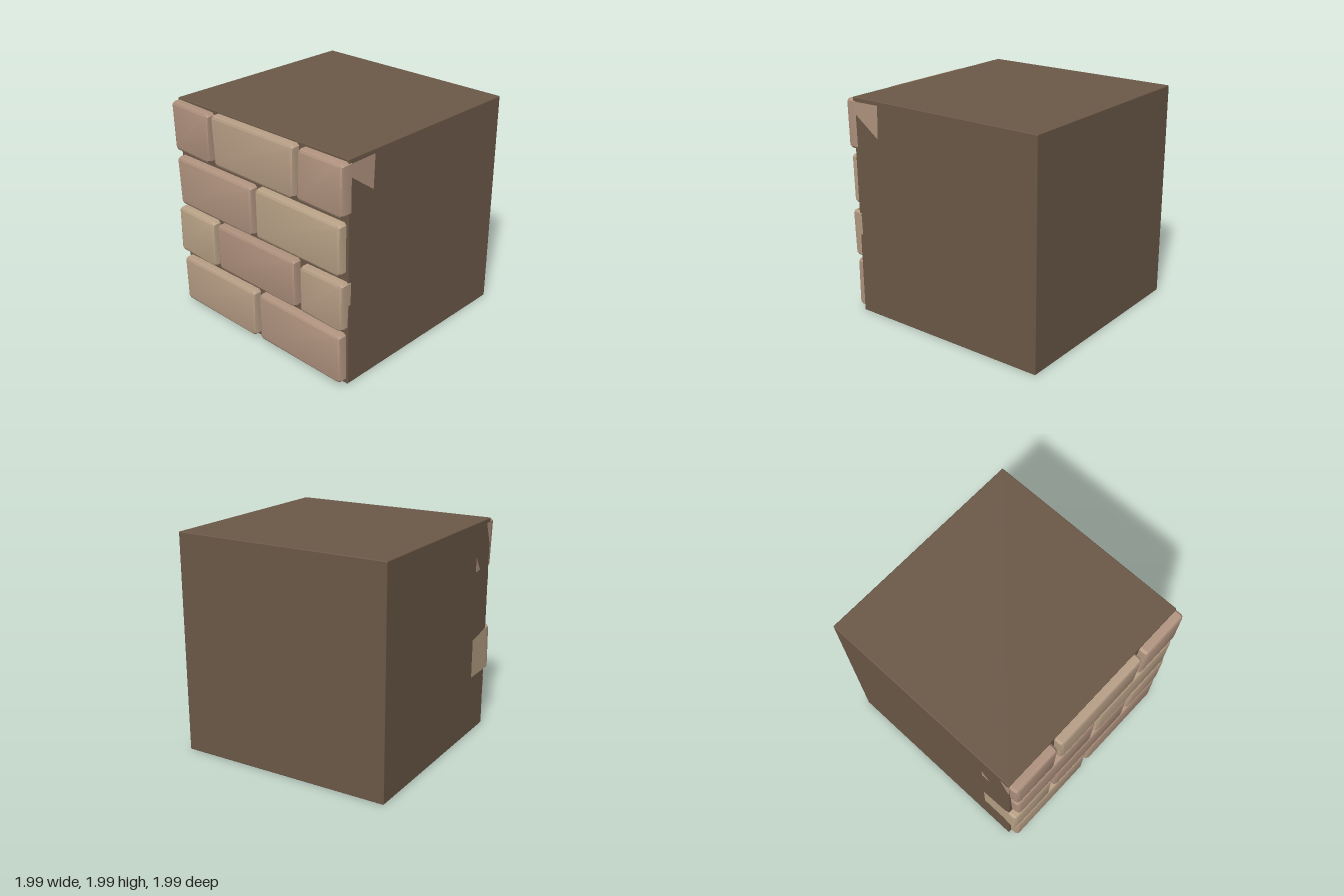
import * as THREE from 'three';
import { toCreasedNormals } from 'three/addons/utils/BufferGeometryUtils.js';
import { RoundedBoxGeometry } from 'three/addons/geometries/RoundedBoxGeometry.js';

// Corners of each brick: bottom left, bottom right, top right, top left
const ROWS = [
  [[-0.96, 0.04, -0.035, 0.03, -0.025, 0.475, -0.97, 0.47],
   [0.03, 0.04, 0.975, 0.03, 0.97, 0.48, 0.03, 0.485]],
  [[-1.0, 0.54, -0.53, 0.525, -0.52, 0.965, -0.995, 0.97],
   [-0.47, 0.54, 0.47, 0.535, 0.47, 0.97, -0.48, 0.965],
   [0.53, 0.535, 0.985, 0.525, 0.995, 0.96, 0.53, 0.955]],
  [[-0.95, 1.02, -0.025, 1.015, -0.02, 1.465, -0.97, 1.465],
   [0.025, 1.025, 0.965, 1.02, 0.97, 1.465, 0.03, 1.475]],
  [[-0.975, 1.53, -0.53, 1.52, -0.515, 1.96, -0.99, 1.97],
   [-0.46, 1.525, 0.465, 1.52, 0.48, 1.97, -0.48, 1.97],
   [0.51, 1.53, 0.99, 1.525, 0.995, 1.965, 0.53, 1.965]],
];
const COLORS = [0xb59c84, 0xb0937f, 0xb8a186, 0xad8f7c];

// Cut-cornered outline of a brick, drawn in by an inset
function outline(c, inset, cut) {
  const p = [0, 1, 2, 3].map((i) => new THREE.Vector2(
    c[2 * i] + (i === 0 || i === 3 ? inset : -inset),
    c[2 * i + 1] + (i < 2 ? inset : -inset)));
  const toward = (a, b) => a.clone().add(b.clone().sub(a).setLength(cut));
  return p.flatMap((q, i) => [toward(q, p[(i + 3) % 4]), toward(q, p[(i + 1) % 4])]);
}

// Brick with a bevelled face, lofted from back to front
function brickGeometry(c) {
  const loops = [[0.88, 0, 0.02], [0.96, 0, 0.02], [0.98, 0.007, 0.02], [0.99, 0.024, 0.015]];
  const pos = [], index = [], n = 8;
  for (const [z, inset, cut] of loops) {
    for (const p of outline(c, inset, cut)) pos.push(p.x, p.y, z);
  }
  for (let k = 0; k < loops.length - 1; k++) {
    for (let i = 0; i < n; i++) {
      const a = k * n + i, b = k * n + (i + 1) % n;
      index.push(a, b, b + n, a, b + n, a + n);
    }
  }
  const last = (loops.length - 1) * n;
  for (let i = 1; i < n - 1; i++) index.push(last, last + i, last + i + 1);
  const g = new THREE.BufferGeometry();
  g.setAttribute('position', new THREE.Float32BufferAttribute(pos, 3));
  g.setIndex(index);
  return toCreasedNormals(g, 0.5);
}

// Sliver of brick showing through a side wall; points are [z, y]
function sideSliver(side, points, color) {
  const shape = new THREE.Shape(points.map(([z, y]) => new THREE.Vector2(-side * z, y)));
  const g = new THREE.ShapeGeometry(shape);
  g.rotateY(side * Math.PI / 2);
  g.translate(side * 0.994, 0, 0);
  const mesh = new THREE.Mesh(g, new THREE.MeshStandardMaterial({ color, side: THREE.DoubleSide }));
  mesh.name = 'exposedBrickSide';
  return mesh;
}

export function createModel() {
  const model = new THREE.Group();
  model.name = 'brickBlock';

  // Mortar block
  const block = new THREE.Mesh(
    new RoundedBoxGeometry(1.98, 1.985, 1.91, 2, 0.008),
    new THREE.MeshStandardMaterial({ color: 0x6b5847 }));
  block.name = 'mortarBlock';
  block.position.set(0, 0.9925, -0.045);
  model.add(block);

  // Brick courses on the front
  let count = 0;
  ROWS.forEach((row, r) => {
    const course = new THREE.Group();
    course.name = 'brickCourse' + (r + 1);
    for (const corners of row) {
      const brick = new THREE.Mesh(brickGeometry(corners),
        new THREE.MeshStandardMaterial({ color: COLORS[count++ % COLORS.length] }));
      brick.name = 'brick';
      course.add(brick);
    }
    model.add(course);
  });

  // Brick sides breaking through the walls
  model.add(
    sideSliver(1, [[0.92, 1.945], [0.62, 1.95], [0.635, 1.66], [0.9, 1.85]], COLORS[1]),
    sideSliver(-1, [[0.92, 0.55], [0.62, 0.55], [0.62, 0.91], [0.92, 0.96]], COLORS[2]),
    sideSliver(-1, [[0.62, 1.68], [0.71, 1.55], [0.62, 1.54]], COLORS[1]),
    sideSliver(-1, [[0.92, 1.95], [0.82, 1.95], [0.91, 1.72]], COLORS[1]));
  return model;
}
